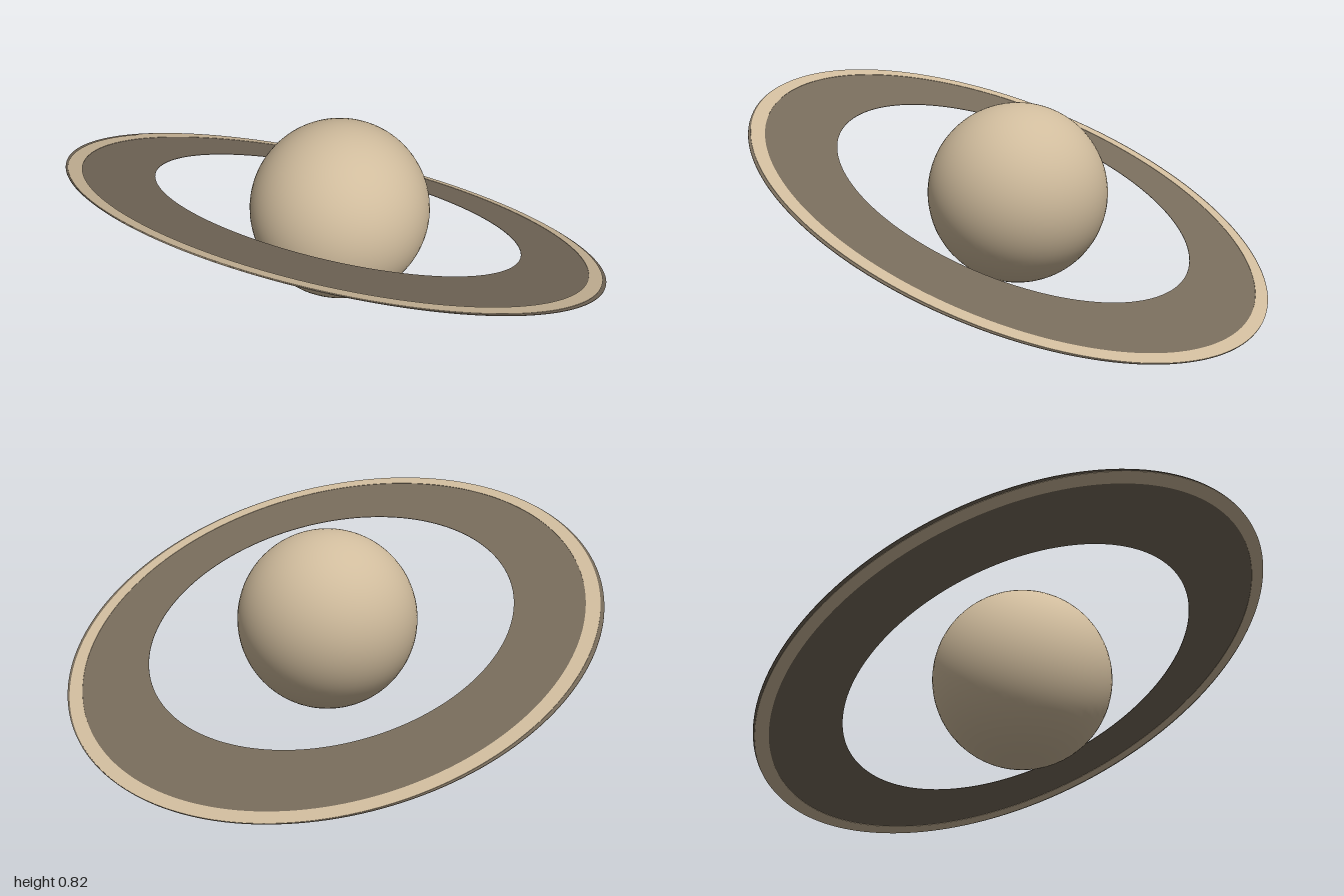
import * as THREE from 'three';

const TILT = THREE.MathUtils.degToRad(24.2);
const CENTRE_Y = 0.412;

// Flat elliptical band lying in the xz plane, centred on its thickness
function band(name, outer, inner, thickness, material) {
  const shape = new THREE.Shape().absellipse(0, 0, outer[0], outer[1], 0, Math.PI * 2);
  shape.holes.push(new THREE.Path().absellipse(0, 0, inner[0], inner[1], 0, Math.PI * 2));
  const geometry = new THREE.ExtrudeGeometry(shape, {
    depth: thickness, bevelEnabled: false, curveSegments: 96,
  });
  geometry.translate(0, 0, -thickness / 2);
  geometry.rotateX(-Math.PI / 2);
  const mesh = new THREE.Mesh(geometry, material);
  mesh.name = name;
  return mesh;
}

export function createModel() {
  const sand = new THREE.MeshStandardMaterial({ color: 0xd0bc9d });
  sand.name = 'sand';
  const umber = new THREE.MeshStandardMaterial({ color: 0x776b5b });
  umber.name = 'umber';

  const model = new THREE.Group();
  model.name = 'ringedPlanet';

  // Smooth globe
  const globe = new THREE.Mesh(new THREE.SphereGeometry(0.335, 64, 40), sand);
  globe.name = 'globe';
  globe.position.y = CENTRE_Y;
  model.add(globe);

  // Tilted rings: a broad dark disc with a pale outer band on both faces
  const rings = new THREE.Group();
  rings.name = 'rings';
  rings.position.y = CENTRE_Y;
  rings.rotation.x = -TILT;
  rings.add(
    band('mainRing', [1, 1], [0.688, 0.688], 0.002, umber),
    band('outerBand', [0.986, 1], [0.936, 0.953], 0.005, sand),
  );
  model.add(rings);

  return model;
}
